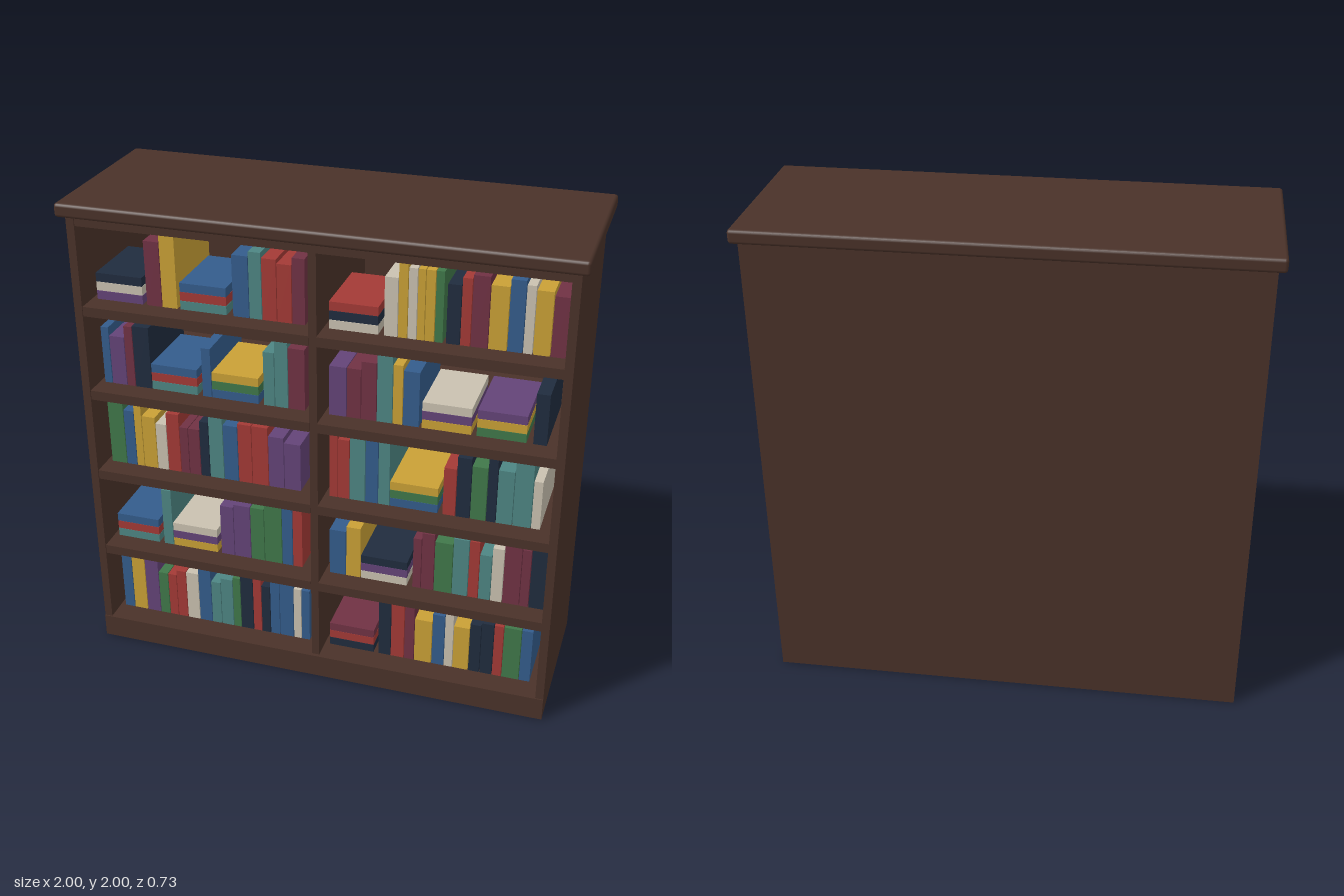
import * as THREE from 'three';
import { RoundedBoxGeometry } from 'three/addons/geometries/RoundedBoxGeometry.js';

const mat = (name, color) => {
  const m = new THREE.MeshStandardMaterial({ color });
  m.name = name;
  return m;
};

export function createModel() {
  const model = new THREE.Group();
  model.name = 'bookcase';

  const wood = mat('dark wood', 0x4a3229);
  const cover = {
    r: mat('red', 0xa33a36), b: mat('blue', 0x345c8c), y: mat('yellow', 0xc9a036),
    g: mat('green', 0x40784a), p: mat('purple', 0x644478), m: mat('maroon', 0x703244),
    t: mat('teal', 0x4d8583), c: mat('cream', 0xc9c1b0), n: mat('navy', 0x202c3e),
  };

  // Box given by its lower and upper corners
  function box(parent, name, material, [x0, y0, z0], [x1, y1, z1]) {
    const mesh = new THREE.Mesh(new THREE.BoxGeometry(x1 - x0, y1 - y0, z1 - z0), material);
    mesh.position.set((x0 + x1) / 2, (y0 + y1) / 2, (z0 + z1) / 2);
    mesh.name = name;
    parent.add(mesh);
  }

  // Carcass
  const shelfTops = [0.1, 0.47, 0.84, 1.21, 1.575];
  const front = 0.335;
  box(model, 'plinth', wood, [-0.97, 0, -0.34], [0.97, 0.1, 0.34]);
  box(model, 'backPanel', wood, [-0.94, 0.1, -0.34], [0.94, 1.95, -0.315]);
  box(model, 'rightSide', wood, [-0.97, 0.1, -0.34], [-0.937, 1.95, front]);
  box(model, 'leftSide', wood, [0.937, 0.1, -0.34], [0.97, 1.95, front]);
  box(model, 'divider', wood, [-0.016, 0.1, -0.315], [0.016, 1.905, front - 0.01]);
  box(model, 'topRail', wood, [-0.937, 1.905, -0.315], [0.937, 1.95, front - 0.005]);
  for (const y of shelfTops.slice(1)) {
    for (const [a, b] of [[-0.937, -0.016], [0.016, 0.937]]) {
      box(model, 'shelf', wood, [a, y - 0.04, -0.315], [b, y, front - 0.005]);
    }
  }

  // Overhanging top with softened edges
  const top = new THREE.Mesh(new RoundedBoxGeometry(2, 0.055, 0.734, 2, 0.013), wood);
  top.position.y = 1.9725;
  top.name = 'topSlab';
  model.add(top);

  // Fills a compartment from a start x. Items: [colour, right edge, height] is an
  // upright book, [three colours, right edge] a flat pile from the bottom up,
  // and [right edge] an empty space.
  const gap = 0.0015, spine = 0.24, layer = 0.037;
  function fill(row, x, items) {
    const y = shelfTops[row];
    const books = new THREE.Group();
    books.name = x < 0 ? 'rightBooks' : 'leftBooks';
    for (const [a, b, h] of items) {
      if (typeof a === 'number') { x = a; continue; }
      const x0 = x + gap, x1 = b - gap;
      if (h) {
        box(books, 'uprightBook', cover[a], [x0, y, spine - 0.34], [x1, y + h, spine]);
      } else {
        [...a].forEach((c, i) => box(books, 'stackedBook', cover[c],
          [x0, y + i * layer, spine - 0.3], [x1, y + (i + 1) * layer - 0.001, spine]));
      }
      x = b;
    }
    model.add(books);
  }

  const startR = -0.917, startL = 0.036;

  // Bottom shelf
  fill(0, startR, [['b', -.87, .305], ['y', -.808, .305], ['p', -.745, .305], ['g', -.7, .21],
    ['r', -.66, .21], ['r', -.615, .235], ['c', -.558, .235], ['b', -.5, .265], ['t', -.455, .21],
    ['t', -.4, .235], ['g', -.365, .25], ['n', -.308, .265], ['r', -.27, .305], ['n', -.23, .235],
    ['b', -.187, .305], ['b', -.125, .265], ['c', -.09, .25], ['b', -.052, .25]]);
  fill(0, startL, [['nrm', .232], [.25], ['n', .304, .305], ['r', .362, .305], ['m', .405, .28],
    ['y', .48, .21], ['b', .533, .25], ['c', .57, .305], ['y', .637, .21], ['n', .685, .235],
    ['n', .737, .25], ['r', .777, .25], ['g', .85, .25], ['b', .897, .25]]);

  // Second shelf
  fill(1, startR, [['trb', -.725], [-.705], ['t', -.66, .265], ['ypc', -.458], [-.442],
    ['p', -.382, .235], ['p', -.308, .25], ['g', -.247, .25], ['g', -.17, .3], ['b', -.123, .3],
    ['r', -.08, .3]]);
  fill(1, startL, [['b', .107, .21], ['y', .17, .235], ['cpn', .367], [.388], ['m', .424, .235],
    ['m', .477, .265], ['g', .552, .235], ['t', .617, .265], ['r', .66, .265], ['t', .71, .21],
    ['c', .758, .25], ['m', .828, .28], ['m', .865, .265], ['n', .936, .305]]);

  // Third shelf
  fill(2, startR, [['g', -.848, .28], ['b', -.802, .25], ['y', -.768, .28], ['y', -.708, .235],
    ['c', -.66, .21], ['r', -.603, .265], ['m', -.565, .21], ['m', -.515, .21], ['n', -.475, .25],
    ['t', -.413, .28], ['b', -.35, .25], ['r', -.29, .265], ['r', -.22, .265], ['p', -.153, .23],
    ['p', -.082, .21]]);
  fill(2, startL, [['r', .072, .28], ['r', .12, .265], ['t', .185, .305], ['b', .238, .305],
    ['t', .286, .28], ['bgy', .482], [.5], ['r', .552, .21], ['n', .61, .265], ['g', .673, .235],
    ['n', .712, .305], ['t', .777, .235], ['t', .85, .305], ['c', .887, .21]]);

  // Fourth shelf
  fill(3, startR, [['b', -.882, .245], ['p', -.817, .21], ['m', -.78, .26], ['n', -.708, .265],
    ['trb', -.51], [-.49], ['b', -.45, .21], ['bgy', -.252], [-.232], ['t', -.185, .23],
    ['t', -.13, .28], ['m', -.06, .26]]);
  fill(3, startL, [['p', .107, .21], ['m', .165, .21], ['m', .227, .245], ['t', .29, .28],
    ['y', .33, .25], ['b', .396, .23], [.405], ['ypc', .6], [.618], ['gyp', .81], [.833],
    ['n', .887, .21]]);

  // Top shelf
  fill(4, startR, [['pcn', -.72], [-.705], ['m', -.64, .265], ['y', -.575, .305], [-.565],
    ['trb', -.372], [-.347], ['b', -.28, .25], ['t', -.228, .27], ['r', -.168, .25],
    ['r', -.108, .235], ['m', -.055, .265]]);
  fill(4, startL, [['cnr', .23], [.25], ['c', .303, .235], ['y', .34, .305], ['c', .375, .28],
    ['y', .405, .28], ['y', .442, .28], ['g', .475, .28], [.485], ['n', .538, .235],
    ['r', .577, .265], ['m', .642, .28], ['y', .712, .25], ['b', .77, .28], ['c', .806, .265],
    ['y', .87, .25], ['m', .932, .235]]);

  return model;
}
